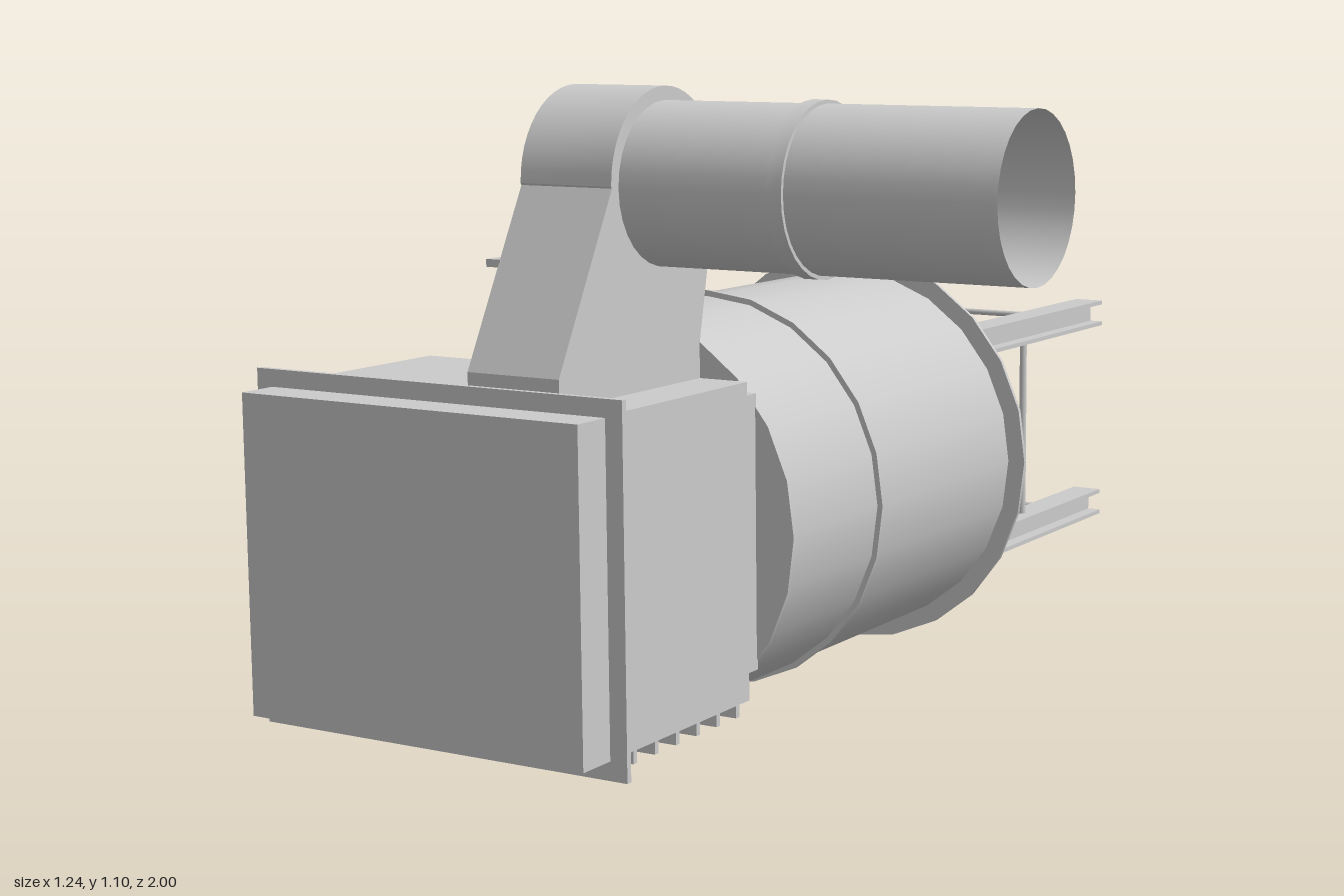
import * as THREE from 'three';
import { toCreasedNormals } from 'three/addons/utils/BufferGeometryUtils.js';

export function createModel() {
  const model = new THREE.Group();
  const grey = new THREE.MeshStandardMaterial({ color: 0xcccccc });
  const sheet = new THREE.MeshStandardMaterial({ color: 0xcccccc, side: THREE.DoubleSide });
  const AX = -0.245, AY = 0.375; // axis of the drum

  function add(name, geometry, material = grey, parent = model) {
    const mesh = new THREE.Mesh(geometry, material);
    mesh.name = name;
    parent.add(mesh);
    return mesh;
  }
  // box given by its limits on each axis
  function box(name, x0, x1, y0, y1, z0, z1, parent = model) {
    const g = new THREE.BoxGeometry(x1 - x0, y1 - y0, z1 - z0);
    g.translate((x0 + x1) / 2, (y0 + y1) / 2, (z0 + z1) / 2);
    return add(name, g, grey, parent);
  }
  // disc or drum along the main axis, from z0 (back) to z1 (front)
  function drum(name, r, z0, z1) {
    const g = new THREE.CylinderGeometry(r, r, z1 - z0, 24);
    g.rotateX(Math.PI / 2);
    g.translate(AX, AY, (z0 + z1) / 2);
    return add(name, g);
  }
  // open cone shell along the main axis, tapering towards the back
  function cone(name, zFront, rFront, zBack, rBack) {
    const g = new THREE.LatheGeometry(
      [new THREE.Vector2(rFront, -zFront), new THREE.Vector2(rBack, -zBack)], 24);
    g.rotateX(-Math.PI / 2);
    g.translate(AX, AY, 0);
    return add(name, g, sheet);
  }

  // Drum, flanges and rear cones
  drum('drumBody', 0.342, -0.335, 0.47);
  drum('frontFlange', 0.356, 0.465, 0.473);
  drum('middleHoop', 0.352, 0.164, 0.172);
  drum('rearFlange', 0.375, -0.34, -0.332);
  cone('rearCone', -0.335, 0.342, -0.6, 0.176);
  drum('coneHoop', 0.181, -0.607, -0.6);
  cone('outletCone', -0.6, 0.176, -0.83, 0.05);

  // Front housing
  box('housingNeck', -0.53, 0.04, 0.15, 0.605, 0.47, 0.55);
  box('housing', -0.56, 0.07, 0.12, 0.635, 0.545, 0.925);
  box('housingFlange', -0.59, 0.1, 0.09, 0.66, 0.922, 0.932);
  box('frontCover', -0.56, 0.07, 0.12, 0.632, 0.93, 1);
  const fins = new THREE.Group();
  fins.name = 'bottomFins';
  for (let i = 0; i < 6; i++) {
    const z = 0.58 + i * 0.0575;
    box('fin', -0.56, 0.07, 0.1, 0.122, z - 0.005, z + 0.005, fins);
  }
  model.add(fins);

  // Exhaust duct: domed side profile (z, y) extruded across x
  const profile = new THREE.Shape();
  profile.moveTo(0.545, 0.63);
  profile.lineTo(0.922, 0.63);
  profile.lineTo(0.922, 0.68);
  profile.lineTo(0.78, 0.95);
  profile.absarc(0.636, 0.953, 0.146, 0, Math.PI, false);
  profile.lineTo(0.545, 0.69);
  profile.closePath();
  const duct = new THREE.ExtrudeGeometry(profile, { depth: 0.167, bevelEnabled: false, curveSegments: 12 });
  duct.rotateY(-Math.PI / 2);
  duct.translate(-0.018, 0, 0);
  add('exhaustDuct', toCreasedNormals(duct, 0.35));
  box('ductVerticalRib', -0.2, -0.183, 0.63, 1.095, 0.629, 0.642);
  box('ductCrossBar', -0.209, -0.183, 0.829, 0.841, 0.51, 0.84);

  // Open pipe with its clamp
  const pipe = new THREE.CylinderGeometry(0.128, 0.128, 0.637, 32, 1, true);
  pipe.rotateZ(Math.PI / 2);
  pipe.translate(0.2965, 0.949, 0.635);
  add('exhaustPipe', pipe, sheet);
  const clampProfile = [[0.127, -0.0125], [0.134, -0.0125], [0.134, 0.0125], [0.127, 0.0125]]
    .map(([r, y]) => new THREE.Vector2(r, y));
  const clamp = toCreasedNormals(new THREE.LatheGeometry(clampProfile, 32), 0.5);
  clamp.rotateZ(Math.PI / 2);
  clamp.translate(0.257, 0.949, 0.635);
  add('pipeClamp', clamp, sheet);

  // Rear frame: four I-beams that run into the cone, tied by rods
  const frame = new THREE.Group();
  frame.name = 'rearFrame';
  const beamX = [AX - 0.2, AX + 0.2], beamY = [0.175, 0.578];
  const w = 0.03, h = 0.026, t = 0.008;
  for (const x of beamX) {
    for (const y of beamY) {
      const beam = new THREE.Group();
      beam.name = 'beam';
      box('topFlange', x - w, x + w, y + h - t, y + h, -1, -0.34, beam);
      box('bottomFlange', x - w, x + w, y - h, y - h + t, -1, -0.34, beam);
      box('web', x - t / 2, x + t / 2, y - h + t, y + h - t, -1, -0.34, beam);
      frame.add(beam);
    }
    const post = new THREE.CylinderGeometry(0.007, 0.007, beamY[1] - beamY[0] - 2 * h, 10);
    post.translate(x, (beamY[0] + beamY[1]) / 2, -0.685);
    add('uprightRod', post, grey, frame);
  }
  for (const y of beamY) {
    const rod = new THREE.CylinderGeometry(0.006, 0.006, 0.4, 10);
    rod.rotateZ(Math.PI / 2);
    rod.translate(AX, y, -0.89);
    add('crossRod', rod, grey, frame);
  }
  model.add(frame);

  return model;
}
